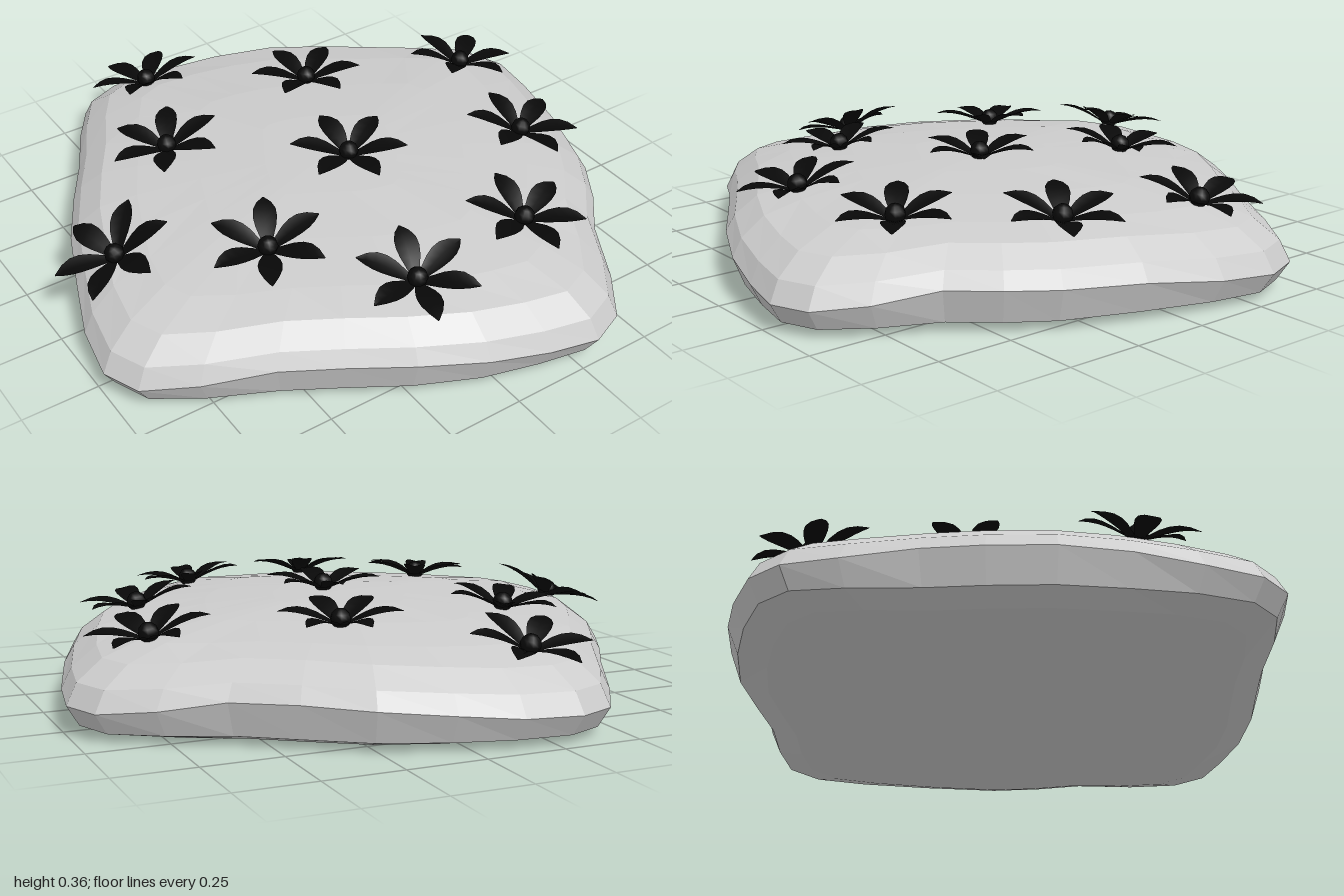
import * as THREE from 'three';

// Rounded, slightly twisted square outline (x, z), clockwise from the back corner
const outline = [
  [-0.31, -1.0], [-0.13, -0.985], [0.06, -0.94], [0.27, -0.86], [0.45, -0.74], [0.62, -0.62], [0.8, -0.53], [0.95, -0.43],
  [1.0, -0.3], [0.97, -0.12], [0.9, 0.12], [0.81, 0.36], [0.72, 0.5], [0.61, 0.63], [0.52, 0.81], [0.42, 0.95],
  [0.3, 1.0], [0.14, 0.97], [-0.05, 0.92], [-0.25, 0.83], [-0.43, 0.72], [-0.6, 0.62], [-0.8, 0.52], [-0.95, 0.42],
  [-1.0, 0.3], [-0.97, 0.12], [-0.9, -0.07], [-0.82, -0.27], [-0.72, -0.45], [-0.62, -0.61], [-0.52, -0.81], [-0.43, -0.95],
];

// Cushion rings from underside to crown: [scale, height at corners, height at side middles]
const rings = [
  [0, 0, 0], [0.86, 0, 0], [0.96, 0.025, 0.03], [1, 0.09, 0.14], [0.965, 0.155, 0.19],
  [0.88, 0.215, 0.245], [0.74, 0.255, 0.268], [0.5, 0.287, 0.29], [0.25, 0.305, 0.305], [0, 0.31, 0.31],
];

function cushionGeometry() {
  const n = outline.length, pos = [], index = [];
  rings.forEach(([s, yCorner, yMid], i) => {
    outline.forEach(([x, z], j) => {
      const corner = THREE.MathUtils.smoothstep(Math.hypot(x, z), 0.84, 1.03);
      pos.push(x * s, THREE.MathUtils.lerp(yMid, yCorner, corner), z * s);
      if (i === rings.length - 1) return;
      const k = (j + 1) % n;
      const a = i * n + j, b = i * n + k, c = b + n, d = a + n;
      if (i < rings.length - 2) index.push(a, d, c);
      if (i > 0) index.push(a, c, b);
    });
  });
  const g = new THREE.BufferGeometry();
  g.setAttribute('position', new THREE.Float32BufferAttribute(pos, 3));
  g.setIndex(index);
  g.computeVertexNormals();
  return g;
}

// Pointed petal along -z, lifted towards the tip and cupped along its midline
function petalGeometry() {
  const g = new THREE.PlaneGeometry(1, 1, 2, 6);
  const p = g.attributes.position;
  const halfWidth = [0.012, 0.022, 0.032, 0.037, 0.035, 0.023, 0.002];
  for (let i = 0; i < p.count; i++) {
    const u = p.getY(i) + 0.5;
    const side = p.getX(i) * 2;
    const w = halfWidth[Math.round(u * 6)];
    const lift = 0.003 + 0.042 * Math.sin(u * 1.75);
    p.setXYZ(i, side * w, lift + Math.abs(side) * w * 0.25, -0.015 - 0.175 * u);
  }
  g.computeVertexNormals();
  return g;
}

// Flower spots: [x, z, turn in degrees clockwise]
const flowers = [
  [-0.25, -0.79, -18], [-0.41, -0.35, 30], [0.19, -0.43, -5], [0.73, -0.25, -12], [-0.79, 0.01, -12],
  [0.04, 0.05, 4], [-0.42, 0.29, 28], [0.63, 0.21, 2], [-0.12, 0.64, 18], [0.33, 0.59, 8],
];

export function createModel() {
  const model = new THREE.Group();
  model.name = 'flowerCushion';

  const cushion = new THREE.Mesh(cushionGeometry(),
    new THREE.MeshStandardMaterial({ color: 0xcccccc, flatShading: true }));
  cushion.name = 'cushion';
  model.add(cushion);

  // Height of the cushion top under a point
  const ray = new THREE.Raycaster();
  const down = new THREE.Vector3(0, -1, 0);
  const heightAt = (x, z) => {
    ray.set(new THREE.Vector3(x, 1, z), down);
    const hit = ray.intersectObject(cushion)[0];
    return hit ? hit.point.y : 0.15;
  };

  const black = new THREE.MeshStandardMaterial({ color: 0x080808, side: THREE.DoubleSide });
  const petalShape = petalGeometry();
  const budShape = new THREE.SphereGeometry(0.032, 10, 6);
  const up = new THREE.Vector3(0, 1, 0);
  const e = 0.09;

  flowers.forEach(([x, z, turn]) => {
    const flower = new THREE.Group();
    flower.name = 'flower';
    flower.position.set(x, heightAt(x, z), z);
    // Lean with the slope of the cushion
    const normal = new THREE.Vector3(
      heightAt(x - e, z) - heightAt(x + e, z), 2 * e,
      heightAt(x, z - e) - heightAt(x, z + e)).normalize();
    flower.quaternion.setFromUnitVectors(up, normal);

    for (let i = 0; i < 6; i++) {
      const petal = new THREE.Mesh(petalShape, black);
      petal.name = 'petal';
      petal.rotation.y = -THREE.MathUtils.degToRad(turn + i * 60);
      flower.add(petal);
    }
    const bud = new THREE.Mesh(budShape, black);
    bud.name = 'flowerCentre';
    bud.position.y = 0.022;
    flower.add(bud);
    model.add(flower);
  });
  return model;
}
